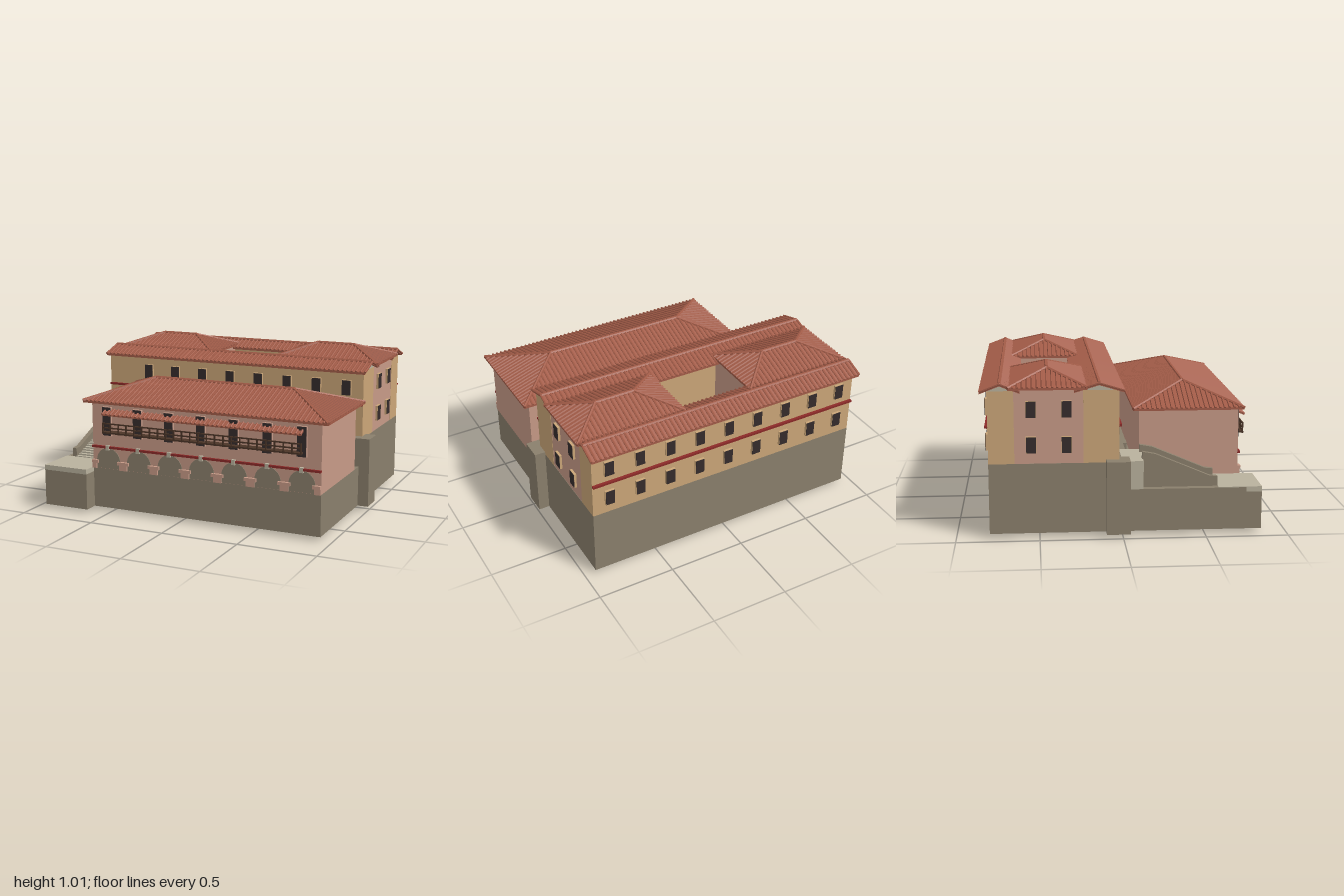
import * as THREE from 'three';
import { mergeGeometries } from 'three/addons/utils/BufferGeometryUtils.js';

const mat = (name, color, opts = {}) => {
  const m = new THREE.MeshStandardMaterial({ color, ...opts });
  m.name = name;
  return m;
};
const V = (x, y, z) => new THREE.Vector3(x, y, z);

export function createModel() {
  const stone = mat('stone', 0x8a7f6c), paving = mat('paleStone', 0xb9b19d);
  const ochre = mat('ochrePlaster', 0xcba678), pink = mat('pinkPlaster', 0xc79a87);
  const tile = mat('roofTile', 0xa35c48, { flatShading: true });
  const red = mat('redBand', 0x8c2a28), dark = mat('darkGlass', 0x352c2c), wood = mat('wood', 0x4b3527);
  const root = new THREE.Group();

  const add = (name, geo, m, parent = root) => {
    const mesh = new THREE.Mesh(geo, m);
    mesh.name = name;
    parent.add(mesh);
    return mesh;
  };
  // Box given by its limits
  const boxGeo = (x0, x1, y0, y1, z0, z1) =>
    new THREE.BoxGeometry(x1 - x0, y1 - y0, z1 - z0).translate((x0 + x1) / 2, (y0 + y1) / 2, (z0 + z1) / 2);
  const box = (name, m, ...b) => add(name, boxGeo(...b), m);
  // Round bar between two points
  const bar = (a, b, r, sides = 6) => {
    const d = b.clone().sub(a), g = new THREE.CylinderGeometry(r, r, d.length(), sides);
    g.applyQuaternion(new THREE.Quaternion().setFromUnitVectors(V(0, 1, 0), d.normalize()));
    return g.translate((a.x + b.x) / 2, (a.y + b.y) / 2, (a.z + b.z) / 2);
  };
  // Outline in (z, y) extruded from x0 to x1
  const sideExtrude = (pts, x0, x1) =>
    new THREE.ExtrudeGeometry(new THREE.Shape(pts.map(p => new THREE.Vector2(...p))), { depth: x1 - x0, bevelEnabled: false })
      .rotateY(-Math.PI / 2).translate(x1, 0, 0);

  // Tiled roof: hipped when inset > 0, gabled when inset = 0
  const STEP = 0.03, R = 0.008;
  const roof = (name, x0, x1, z0, z1, y0, y1, inset) => {
    const zc = (z0 + z1) / 2, hz = (z1 - z0) / 2, ribs = [];
    const A = V(x0 + inset, y1, zc), B = V(x1 - inset, y1, zc);
    const nx = Math.round((x1 - x0) / STEP), nz = Math.round((z1 - z0) / STEP);
    for (let i = 0; i <= nx; i++) {
      const x = x0 + (x1 - x0) * i / nx;
      const t = inset ? Math.min(1, (x - x0) / inset, (x1 - x) / inset) : 1;
      if (t < 0.03) continue;
      for (const z of [z0, z1]) ribs.push(bar(V(x, y0, z), V(x, y0 + (y1 - y0) * t, z + (zc - z) * t), R));
    }
    if (inset) {
      for (let i = 1; i < nz; i++) {
        const z = z0 + (z1 - z0) * i / nz, t = 1 - Math.abs(z - zc) / hz;
        ribs.push(bar(V(x0, y0, z), V(x0 + inset * t, y0 + (y1 - y0) * t, z), R));
        ribs.push(bar(V(x1, y0, z), V(x1 - inset * t, y0 + (y1 - y0) * t, z), R));
      }
      for (const z of [z0, z1]) ribs.push(bar(V(x0, y0, z), A, 0.011), bar(V(x1, y0, z), B, 0.011));
      const a = V(x0, y0, z1), b = V(x1, y0, z1), c = V(x1, y0, z0), d = V(x0, y0, z0);
      const tris = [a, b, B, a, B, A, c, d, A, c, A, B, b, c, B, d, a, A];
      const g = new THREE.BufferGeometry().setFromPoints(tris);
      g.computeVertexNormals();
      add(name + 'Slopes', g, tile);
      box(name + 'Eaves', tile, x0, x1, y0 - 0.013, y0, z0, z1);
    } else {
      const k = 0.014;
      add(name + 'Slopes', sideExtrude([[z0, y0], [z0, y0 - k], [zc, y1 - k], [z1, y0 - k], [z1, y0], [zc, y1]], x0, x1), tile);
    }
    ribs.push(bar(A, B, 0.012));
    add(name + 'Tiles', mergeGeometries(ribs), tile);
  };

  // Window: projecting surround with a dark pane
  const windowAt = (x, y, z, rot, m, w = 0.058, h = 0.096) => {
    const g = new THREE.Group();
    g.name = 'window';
    add('windowSurround', boxGeo(-w / 2 - 0.002, w / 2 + 0.002, -h / 2 - 0.002, h / 2 + 0.002, -0.005, 0.015), m, g);
    add('windowPane', boxGeo(-w / 2, w / 2, -h / 2, h / 2, 0.014, 0.018), dark, g);
    g.position.set(x, y, z);
    g.rotation.y = rot;
    root.add(g);
  };
  // Arched plate standing on y0, facing +z
  const archPlate = (name, x, y0, hw, spring, z) => {
    const s = new THREE.Shape();
    s.moveTo(x - hw, y0).lineTo(x + hw, y0).lineTo(x + hw, spring);
    s.absarc(x, spring, hw, 0, Math.PI, false);
    add(name, new THREE.ExtrudeGeometry(s, { depth: 0.006, bevelEnabled: false, curveSegments: 12 }).translate(0, 0, z), stone);
  };

  // Terraced base with buttresses
  box('upperBase', stone, -0.93, 0.93, 0.03, 0.46, -0.8, 0.04);
  box('lowerBase', stone, -0.93, 0.93, 0.03, 0.29, 0.04, 0.75);
  box('platformBase', stone, -0.93, -0.62, 0.03, 0.262, 0.7, 0.845);
  box('platformPaving', paving, -0.93, -0.62, 0.262, 0.294, 0.58, 0.845);
  for (const s of [-1, 1])
    box('cornerButtress', stone, Math.min(s, s * 0.86), Math.max(s, s * 0.86), 0.03, 0.477, -0.1, 0.043);
  for (const x of [-0.365, 0.155, 0.665]) box('basePilaster', stone, x - 0.055, x + 0.055, 0.29, 0.455, 0.03, 0.067);

  // Loose slabs beneath the base
  for (const [x, z, w, d, turn, tilt] of [[-0.27, -0.02, 0.28, 0.13, 0.25, 0.06], [0.07, 0.05, 0.17, 0.13, -0.2, -0.08],
    [0.25, -0.05, 0.26, 0.22, 0.3, 0.06], [0.65, -0.01, 0.19, 0.16, -0.3, -0.07]]) {
    const slab = add('footingSlab', new THREE.BoxGeometry(w, 0.022, d), stone);
    slab.position.set(x, 0.023, z);
    slab.rotation.set(tilt, turn, 0);
  }

  // Entrance stair with landing and parapets
  box('landing', paving, -0.93, -0.62, 0.29, 0.464, 0, 0.125);
  const N = 18;
  for (let i = 0; i < N; i++) {
    const z = 0.58 - 0.455 * i / N;
    box('stairStep', paving, -0.86, -0.69, 0.285, 0.29 + 0.174 * (i + 1) / N, 0.12, z);
  }
  for (const x of [-0.885, -0.7])
    add('stairParapet', sideExtrude([[0.12, 0.285], [0.58, 0.285], [0.58, 0.35], [0.53, 0.355], [0.2, 0.495], [0.12, 0.51]], x, x + 0.03), stone);
  archPlate('entranceArch', -0.775, 0.464, 0.083, 0.587, -0.02);

  // Upper building: two long wings and two pavilions around a courtyard
  const wings = [['frontWing', -0.235, -0.02, -0.29, 0.008, 0.945], ['backWing', -0.8, -0.645, -0.845, -0.608, 0.945]];
  for (const [name, z0, z1, e0, e1, top] of wings) {
    const zc = (e0 + e1) / 2;
    box(name + 'Walls', ochre, -0.93, 0.93, 0.46, 0.9, z0, z1);
    add(name + 'Gables', sideExtrude([[z0, 0.9], [z1, 0.9], [zc, top - 0.01]], -0.93, 0.93), paving);
    roof(name + 'Roof', -0.945, 0.945, e0, e1, 0.9, top, 0);
  }
  box('frontBand', red, -0.93, 0.93, 0.678, 0.692, -0.025, -0.005);
  box('backBand', red, -0.93, 0.93, 0.678, 0.692, -0.818, -0.795);
  for (const s of [-1, 1]) {
    const [a, b] = s > 0 ? [0.25, 0.928] : [-0.928, -0.25];
    box('pavilionWalls', pink, a, b, 0.46, 0.915, -0.65, -0.23);
    const [c, d] = s > 0 ? [0.23, 0.957] : [-0.957, -0.23];
    roof('pavilionRoof', c, d, -0.68, -0.212, 0.92, 1.003, 0.235);
    for (const z of [-0.545, -0.335]) for (const y of [0.575, 0.79]) windowAt(s * 0.928, y, z, s * Math.PI / 2, ochre);
  }
  for (const y of [0.575, 0.79]) {
    for (let i = 0; i < 8; i++) windowAt(-0.62 + i * 0.2055, y, -0.02, 0, ochre);
    for (let i = 0; i < 9; i++) windowAt(-0.82 + i * 0.205, y, -0.8, Math.PI, ochre);
  }

  // Courtyard and well
  box('courtyardFloor', paving, -0.25, 0.25, 0.455, 0.464, -0.645, -0.235);
  box('courtyardInset', paving, -0.2, 0.2, 0.46, 0.469, -0.59, -0.3);
  add('wellWall', new THREE.CylinderGeometry(0.045, 0.045, 0.05, 12).translate(0, 0.49, -0.445), stone);
  add('wellMouth', new THREE.CylinderGeometry(0.035, 0.035, 0.004, 12).translate(0, 0.516, -0.445), dark);

  // Lower front building
  box('frontHouseWalls', pink, -0.62, 0.93, 0.29, 0.715, 0.125, 0.75);
  roof('frontHouseRoof', -0.672, 0.975, 0.085, 0.775, 0.728, 0.845, 0.345);
  box('frontHouseBand', red, -0.62, 0.93, 0.426, 0.44, 0.745, 0.765);

  // Arcade with keystones, piers and imposts; tall windows above
  const P = 0.2195, X0 = -0.508;
  for (let i = 0; i < 7; i++) {
    const x = X0 + i * P;
    archPlate('arcadeArch', x, 0.292, 0.084, 0.342, 0.748);
    box('keystone', paving, x - 0.012, x + 0.012, 0.415, 0.447, 0.745, 0.769);
    windowAt(x, 0.603, 0.75, 0, pink, 0.058, 0.182);
  }
  for (let i = 0; i <= 7; i++) {
    const x = X0 + (i - 0.5) * P, l = Math.max(x - 0.027, -0.62), r = Math.min(x + 0.027, 0.93);
    box('arcadePier', pink, l, r, 0.29, 0.33, 0.745, 0.765);
    box('arcadeImpost', pink, Math.max(l - 0.013, -0.62), Math.min(r + 0.013, 0.93), 0.325, 0.345, 0.745, 0.769);
  }

  // Wooden balcony
  box('balconyFloor', wood, -0.52, 0.82, 0.533, 0.543, 0.75, 0.803);
  const rails = [0.57, 0.597].map(y => boxGeo(-0.52, 0.82, y - 0.004, y + 0.004, 0.793, 0.801));
  for (let i = 0; i <= 24; i++) {
    const x = -0.517 + 1.334 * i / 24;
    rails.push(boxGeo(x - 0.004, x + 0.004, 0.53, 0.6, 0.793, 0.801));
  }
  add('balconyRailing', mergeGeometries(rails), wood);

  // Tiled awning over the balcony
  add('awningSlab', sideExtrude([[0.745, 0.682], [0.745, 0.674], [0.805, 0.648], [0.805, 0.656]], -0.52, 0.82), tile);
  const awning = [];
  for (let i = 0; i <= 45; i++) {
    const x = -0.515 + 1.33 * i / 45;
    awning.push(bar(V(x, 0.683, 0.745), V(x, 0.657, 0.808), 0.007));
  }
  add('awningTiles', mergeGeometries(awning), tile);

  return root;
}
